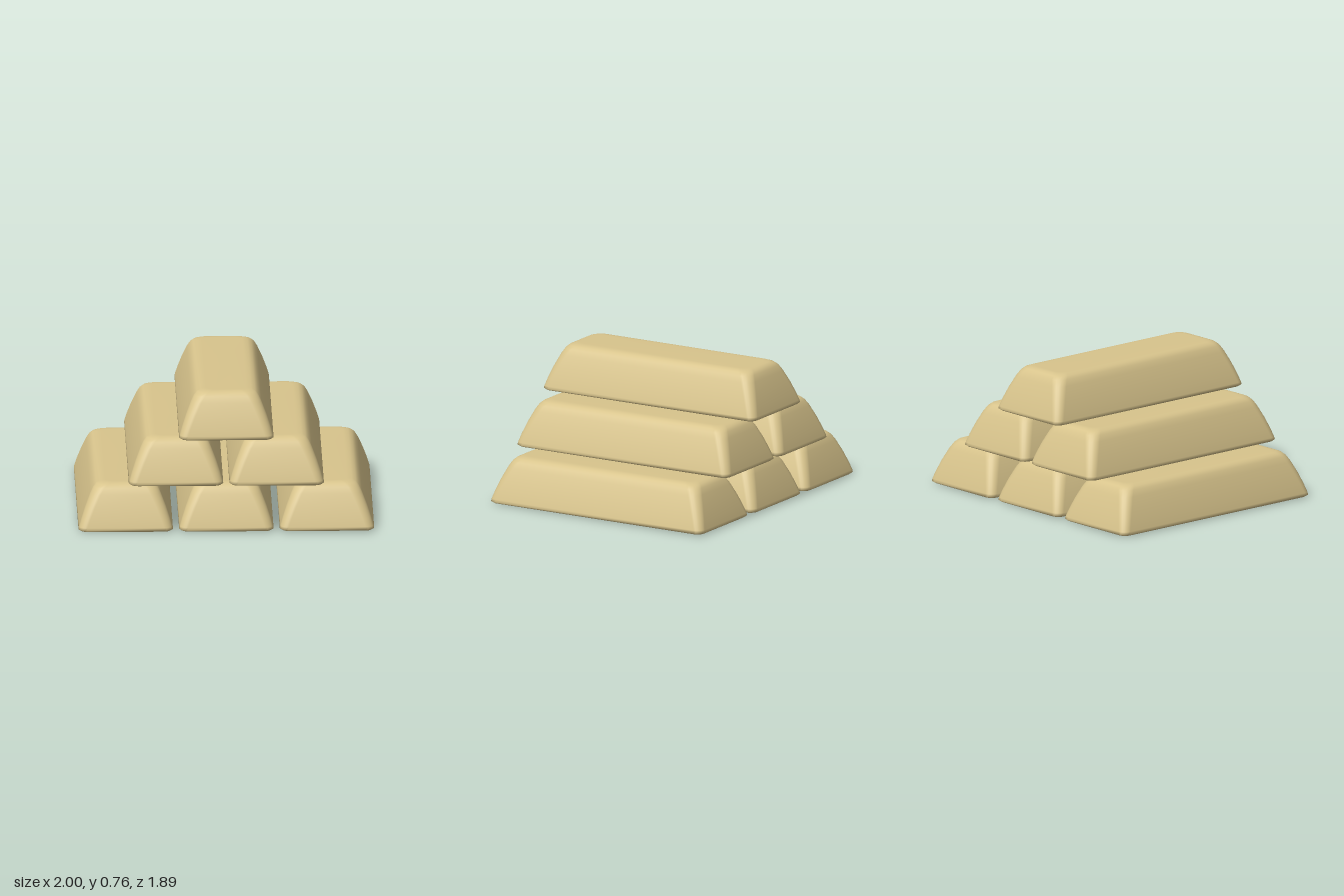
import * as THREE from 'three';

const HALF_WIDTH = 0.254, HALF_LENGTH = 0.672;
const CORNER_STEPS = 6;

// Height, inset from the widest outline, and corner radius of each level of a bar
const LEVELS = [
  [0.0, 0.032, 0.035], [0.003, 0.012, 0.04], [0.012, 0.0, 0.045], [0.026, 0.003, 0.045],
  [0.07, 0.016, 0.048], [0.13, 0.037, 0.052], [0.195, 0.064, 0.056], [0.226, 0.081, 0.058],
  [0.242, 0.097, 0.06], [0.25, 0.118, 0.055], [0.252, 0.145, 0.045],
];

// Rounded rectangle outline at one level
function outline([y, inset, r]) {
  const points = [];
  for (let c = 0; c < 4; c++) {
    const sx = c === 0 || c === 3 ? 1 : -1, sz = c < 2 ? 1 : -1;
    for (let s = 0; s <= CORNER_STEPS; s++) {
      const a = (c + s / CORNER_STEPS) * Math.PI / 2;
      points.push([
        sx * (HALF_WIDTH - inset - r) + Math.cos(a) * r,
        y,
        sz * (HALF_LENGTH - inset - r) + Math.sin(a) * r,
      ]);
    }
  }
  return points;
}

// Tapered ingot lofted through the levels and closed by fans at both ends
function barGeometry() {
  const rings = LEVELS.map(outline);
  const n = rings[0].length, last = rings.length - 1;
  const positions = rings.flat(2);
  const bottom = n * rings.length, top = bottom + 1;
  positions.push(0, 0, 0, 0, LEVELS[last][0], 0);

  const index = [];
  for (let i = 0; i < n; i++) {
    const k = (i + 1) % n;
    for (let j = 0; j < last; j++) {
      const a = j * n + i, b = j * n + k, c = a + n, d = b + n;
      index.push(a, c, b, b, c, d);
    }
    index.push(bottom, i, k);
    index.push(last * n + i, top, last * n + k);
  }
  const geometry = new THREE.BufferGeometry();
  geometry.setAttribute('position', new THREE.Float32BufferAttribute(positions, 3));
  geometry.setIndex(index);
  geometry.computeVertexNormals();
  return geometry;
}

export function createModel() {
  const model = new THREE.Group();
  model.name = 'goldBarStack';
  const geometry = barGeometry();
  const material = new THREE.MeshStandardMaterial({ color: 0xd8c48c });
  const spacing = 0.541, layerHeight = 0.254;

  // Layers of three, two and one bars
  ['bottomLayer', 'middleLayer', 'topLayer'].forEach((name, layer) => {
    const group = new THREE.Group();
    group.name = name;
    const count = 3 - layer;
    for (let i = 0; i < count; i++) {
      const bar = new THREE.Mesh(geometry, material);
      bar.name = 'goldBar';
      bar.position.set((i - (count - 1) / 2) * spacing, layer * layerHeight, 0);
      group.add(bar);
    }
    model.add(group);
  });

  // The whole stack stands turned on its base
  model.rotation.y = 0.48;
  return model;
}
